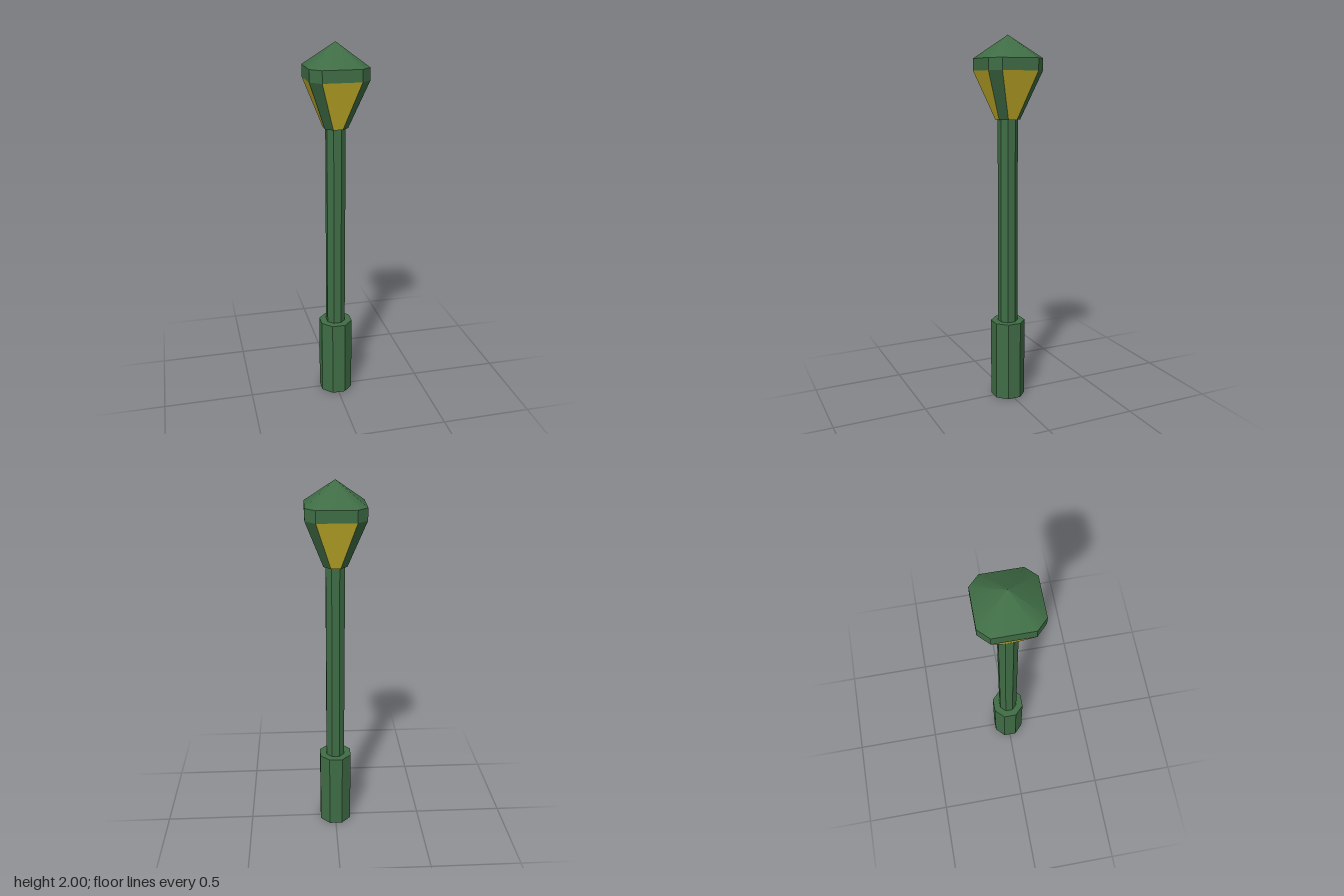
import * as THREE from 'three';
import { toCreasedNormals } from 'three/addons/utils/BufferGeometryUtils.js';

// Eight corners of a chamfered square: half = half width, edge = half length of each main side.
function octagon(y, half, edge) {
  const points = [];
  let corners = [[-edge, half], [edge, half]];
  for (let side = 0; side < 4; side++) {
    for (const [x, z] of corners) points.push(new THREE.Vector3(x, y, z));
    corners = corners.map(([x, z]) => [z, -x]);
  }
  return points;
}

// Side walls between two rings; even walls are main sides (group 0), odd walls are chamfers (group 1).
function walls(bottom, top) {
  const points = [];
  const geometry = new THREE.BufferGeometry();
  for (let i = 0; i < 8; i++) {
    const j = (i + 1) % 8;
    points.push(bottom[i], bottom[j], top[j], bottom[i], top[j], top[i]);
    geometry.addGroup(i * 6, 6, i % 2);
  }
  geometry.setFromPoints(points);
  geometry.computeVertexNormals();
  return geometry;
}

// Fan from a ring to a centre point, facing up or down.
function fan(ring, centerY, up = true) {
  const center = new THREE.Vector3(0, centerY, 0);
  const points = [];
  for (let i = 0; i < 8; i++) {
    const a = ring[i], b = ring[(i + 1) % 8];
    points.push(...(up ? [a, b, center] : [b, a, center]));
  }
  const geometry = new THREE.BufferGeometry().setFromPoints(points);
  geometry.computeVertexNormals();
  return geometry;
}

export function createModel() {
  const green = new THREE.MeshStandardMaterial({ color: 0x3f6d45 });
  green.name = 'green paint';
  const yellow = new THREE.MeshStandardMaterial({ color: 0xcdb72c });
  yellow.name = 'yellow glass';

  const model = new THREE.Group();
  model.name = 'streetLamp';
  const add = (name, geometry, material, parent = model) => {
    const mesh = new THREE.Mesh(geometry, material);
    mesh.name = name;
    parent.add(mesh);
  };

  // Base and pole: regular octagonal prisms
  const prism = (name, y0, y1, half) => {
    const edge = half * Math.tan(Math.PI / 8);
    const bottom = octagon(y0, half, edge), top = octagon(y1, half, edge);
    const part = new THREE.Group();
    part.name = name;
    add(name + 'Sides', walls(bottom, top), [green, green], part);
    add(name + 'Top', fan(top, y1), green, part);
    add(name + 'Bottom', fan(bottom, y0, false), green, part);
    model.add(part);
  };
  prism('base', 0, 0.44, 0.0875);
  prism('pole', 0.44, 1.565, 0.05);

  // Lantern: flared glass panes between green corner posts, rim and pointed roof
  const lantern = new THREE.Group();
  lantern.name = 'lantern';
  model.add(lantern);
  const foot = octagon(1.563, 0.062, 0.025);
  const rimBottom = octagon(1.817, 0.156, 0.102);
  const rimTop = octagon(1.88, 0.156, 0.102);
  add('lanternFloor', fan(foot, 1.563, false), green, lantern);
  add('glassPanesAndCornerPosts', walls(foot, rimBottom), [yellow, green], lantern);
  add('rim', walls(rimBottom, rimTop), [green, green], lantern);
  add('roof', toCreasedNormals(fan(rimTop, 2), 0.65), green, lantern);

  return model;
}
